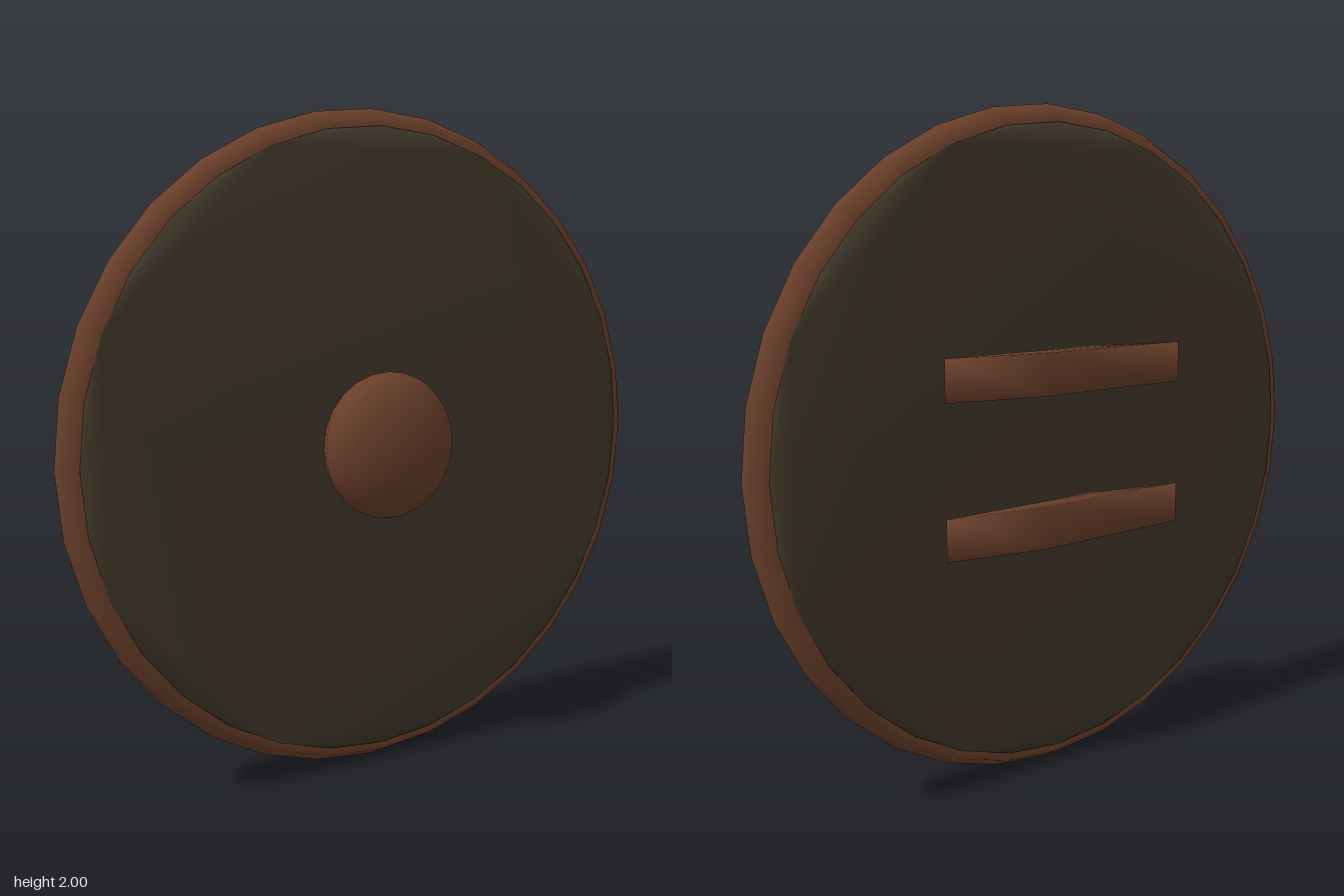
import * as THREE from 'three';
import { mergeVertices } from 'three/addons/utils/BufferGeometryUtils.js';

// Shares the corners between faces so the shading runs smoothly over the edges
function smooth(geometry) {
  geometry.deleteAttribute('normal');
  geometry.deleteAttribute('uv');
  const merged = mergeVertices(geometry, 1e-4);
  merged.computeVertexNormals();
  return merged;
}

// Straight extrusion of a polygon
function prism(points, depth) {
  const shape = new THREE.Shape(points.map(([x, y]) => new THREE.Vector2(x, y)));
  return new THREE.ExtrudeGeometry(shape, { depth, bevelEnabled: false });
}

export function createModel() {
  const group = new THREE.Group();
  const wood = new THREE.MeshStandardMaterial({ color: 0x6a3f2a });
  wood.name = 'brown';
  const board = new THREE.MeshStandardMaterial({ color: 0x40372a });
  board.name = 'dark olive';

  function add(name, geometry, material, x, y, z) {
    const mesh = new THREE.Mesh(geometry, material);
    mesh.name = name;
    mesh.position.set(x, y, z);
    group.add(mesh);
    return mesh;
  }

  const sides = 32;
  const midZ = -0.037;

  // Round board
  const outline = [];
  for (let i = 0; i < sides; i++) {
    const a = (i / sides) * Math.PI * 2;
    outline.push([0.946 * Math.cos(a), 0.946 * Math.sin(a)]);
  }
  add('board', smooth(prism(outline, 0.11)), board, 0, 1, midZ - 0.055);

  // Six-sided rim
  add('rim', new THREE.TorusGeometry(0.943, 0.057, 6, sides), wood, 0, 1, midZ);

  // Domed boss at the centre of the front
  const boss = new THREE.SphereGeometry(1, 16, 12);
  boss.scale(0.22, 0.223, 0.112);
  add('boss', boss, wood, 0, 1.003, 0.06);

  // Two slanted grips on the back; outline is x, -z
  const gripOutline = [[-0.44, 0.147], [-0.12, 0.093], [0.43, 0.125], [0.12, 0.178]];
  for (const [name, y] of [['upperGrip', 1.167], ['lowerGrip', 0.715]]) {
    const grip = prism(gripOutline, 0.125);
    grip.rotateX(-Math.PI / 2);
    add(name, smooth(grip), wood, 0, y, 0);
  }

  return group;
}
